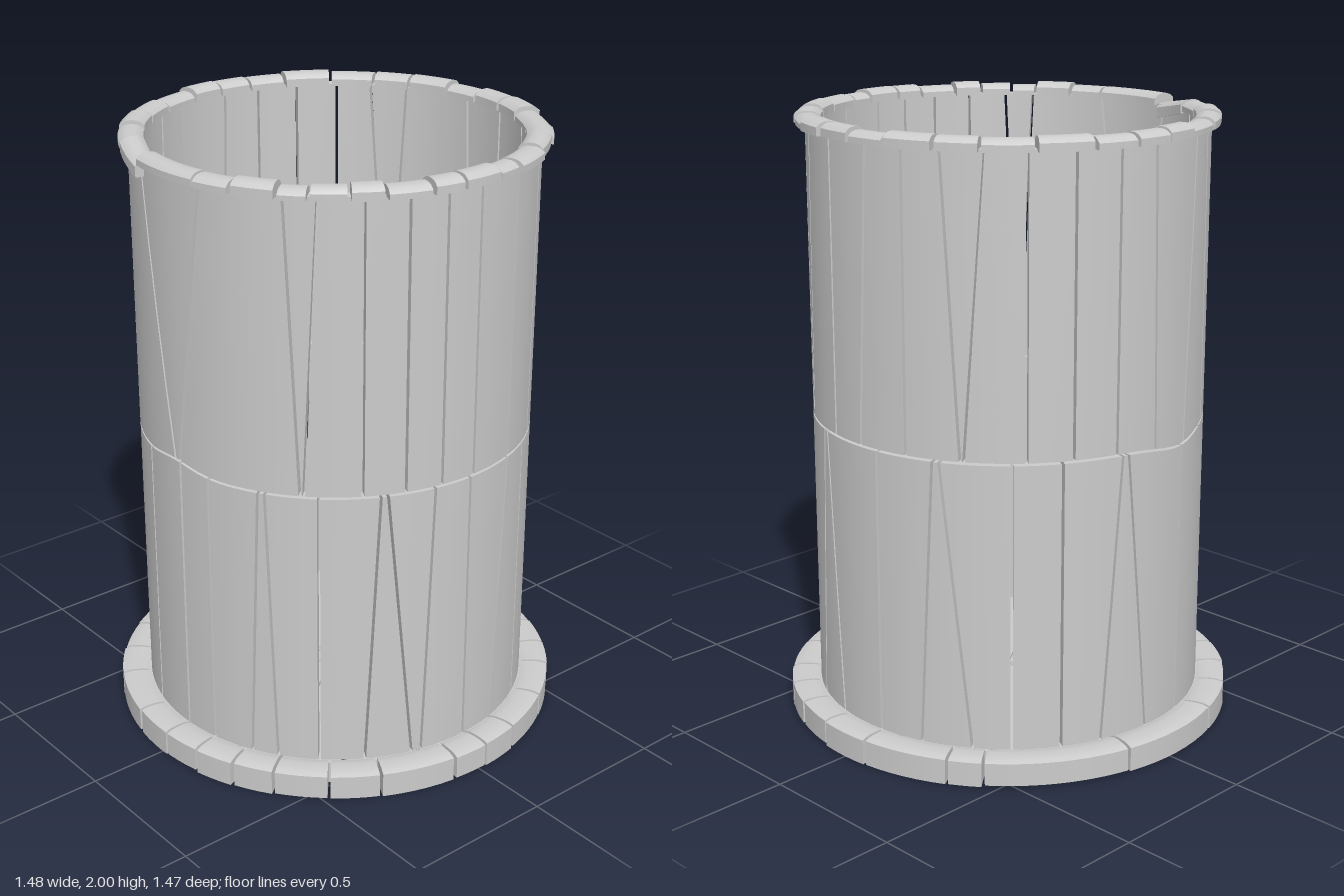
import * as THREE from 'three';

const rad = THREE.MathUtils.degToRad;
const lerp = THREE.MathUtils.lerp;
const material = new THREE.MeshStandardMaterial({ color: 0xcccccc });

// Seeded noise in 0..1
function seeded(seed) {
  return () => (seed = (seed * 16807) % 2147483647) / 2147483647;
}

// Angle 0 is the front (+z), 90 is the model's left (+x)
const polar = (r, deg) => [r * Math.sin(rad(deg)), r * Math.cos(rad(deg))];

// A box bent round the axis: its sides may slant, its top may be rounded
function bentBlock({ bottom, top, rIn, rOut, yLow, yHigh, gap = 0.4, round = 0 }) {
  const inset = ([a, b]) => {
    const g = Math.min(gap, (b - a) / 2 - 0.1);
    return [a + Math.max(g, 0), b - Math.max(g, 0)];
  };
  const low = inset(bottom), high = inset(top);
  const span = Math.max(low[1] - low[0], high[1] - high[0]);
  const geo = new THREE.BoxGeometry(1, 1, 1, Math.max(2, Math.ceil(span / 4)), 4, round ? 6 : 1);
  const pos = geo.attributes.position;
  for (let i = 0; i < pos.count; i++) {
    const u = pos.getX(i) + 0.5, v = pos.getY(i) + 0.5, w = pos.getZ(i);
    const a = lerp(lerp(low[0], low[1], u), lerp(high[0], high[1], u), v);
    const [x, z] = polar(lerp(rIn, rOut, w + 0.5), a);
    const y = lerp(yLow(a), yHigh(a) - round * Math.pow(Math.abs(2 * w), 3), v);
    pos.setXYZ(i, x, y, z);
  }
  geo.computeVertexNormals();
  return new THREE.Mesh(geo, material);
}

// Calls make(crack, nextCrack) for every piece round the circle
function aroundCircle(cracks, name, make) {
  const group = new THREE.Group();
  group.name = name;
  cracks.forEach((crack, i) => {
    const last = i === cracks.length - 1;
    const next = last ? cracks[0].map((d, k) => (k < 2 ? d + 360 : d)) : cracks[i + 1];
    const mesh = make(crack, next, i);
    mesh.name = name + 'Piece';
    group.add(mesh);
  });
  return group;
}

// Height of the uneven joint between the two tiers of staves
function joint(deg) {
  const a = ((deg + 540) % 360) - 180;
  return 1.02 + 0.02 * Math.exp(-((a / 10) ** 2)) - 0.03 * Math.exp(-(((a + 78) / 14) ** 2));
}

// Cracks as [angle at the bottom, angle at the top]
const UPPER = [
  [-60, -62], [-32, -32], [0, -14], [2, 13], [41, 37], [42, 46], [58, 58], [70, 70], [81, 81],
  [92, 92], [108, 108], [125, 125], [147, 142], [148, 152], [168, 168], [180, 184], [196, 196],
  [212, 207], [213, 219], [230, 230], [243, 243], [256, 256], [270, 268], [284, 288],
];
const LOWER = [
  [-40, -63], [-15, -15], [2, 2], [13, 13], [26, 29], [34, 31], [46, 46], [59, 63], [73, 65],
  [76, 79], [91, 91], [103, 108], [119, 119], [141, 141], [154, 160], [169, 162], [186, 186],
  [200, 204], [215, 206], [226, 226], [240, 240], [252, 258], [268, 260], [283, 283],
];
const FLANGE = [
  -11, 2, 13, 24, 35, 49, 62, 82, 92, 103, 120, 136, 147, 159, 172, 187, 210, 219, 256, 288, 304,
  317, 330,
].map((a) => [a, a]);
const RIM = [
  -27, -11, 13, 24, 36, 44, 54, 63, 75, 84, 96, 104, 118, 131, 142, 156, 168, 180, 192, 206, 218,
  232, 247, 259, 270, 281, 295, 308, 320,
].map((a) => [a, a]);

// Floor cracks: outer angle twice, then the point (x, z) where the crack starts
const FLOOR = [
  [-13, -13, 0, 0.25], [2, 2, 0, 0.25], [22, 22, 0, 0.25], [35, 35, 0, 0], [53, 53, 0, 0],
  [75, 75, 0.19, -0.02], [92, 92, 0.19, -0.02], [103, 103, 0.19, -0.02], [115, 115, 0.19, -0.02],
  [137, 137, 0, 0], [148, 148, 0, 0], [165, 165, 0, 0], [193, 193, 0, 0], [221, 221, 0, 0],
  [256, 256, -0.11, 0.03], [293, 293, -0.19, 0.09], [321, 321, -0.19, 0.09],
];

function floorWedge([a, , ax, az], [b, , bx, bz]) {
  const pts = [[ax, az]];
  const steps = Math.ceil((b - a) / 4);
  for (let i = 0; i <= steps; i++) pts.push(polar(0.655, lerp(a + 0.5, b - 0.5, i / steps)));
  if (ax !== bx || az !== bz) {
    if (bx || bz) pts.push([bx, bz]);
    if ((ax || az) && (bx || bz)) pts.push([0, 0]);
    else if (ax || az) pts.push([0, 0]);
  }
  // Shift each wedge a little outward and narrow it to open the cracks
  const [mx, mz] = polar(1, (a + b) / 2);
  const shape = new THREE.Shape(pts.map(([x, z]) => {
    const along = x * mx + z * mz, side = (x * mz - z * mx) * 0.97;
    const out = along * 0.988 + 0.008;
    return new THREE.Vector2(out * mx + side * mz, -(out * mz - side * mx));
  }));
  const geo = new THREE.ExtrudeGeometry(shape, { depth: 0.075, bevelEnabled: false });
  geo.rotateX(-Math.PI / 2).translate(0, 0.01, 0);
  return new THREE.Mesh(geo, material);
}

export function createModel() {
  const model = new THREE.Group();
  model.name = 'crackedCup';
  const rand = seeded(71);

  // Floor wedges
  model.add(aroundCircle(FLOOR, 'floor', floorWedge));

  // Foot flange stones
  model.add(aroundCircle(FLANGE, 'footFlange', (c, n) => {
    const low = 0.012 * rand() * rand();
    return bentBlock({
      bottom: [c[0], n[0]], top: [c[1], n[1]], rIn: 0.64, rOut: 0.74 - 0.006 * rand(),
      yLow: () => low, yHigh: () => 0.092, round: 0.008,
    });
  }));

  // Two tiers of wall staves
  model.add(aroundCircle(LOWER, 'lowerWall', (c, n) => bentBlock({
    bottom: [c[0], n[0]], top: [c[1], n[1]], rIn: 0.595, rOut: 0.64,
    yLow: () => 0.085, yHigh: (a) => joint(a) - 0.004,
  })));
  model.add(aroundCircle(UPPER, 'upperWall', (c, n) => bentBlock({
    bottom: [c[0], n[0]], top: [c[1], n[1]], rIn: 0.6, rOut: 0.64,
    yLow: (a) => joint(a) + 0.004, yHigh: () => 1.962,
  })));

  // Rounded rim stones, the first one chipped and sagging
  model.add(aroundCircle(RIM, 'rim', (c, n, i) => {
    const high = 2 - (i % 3 ? 0.012 * rand() : 0);
    return bentBlock({
      bottom: [c[0], n[0]], top: [c[1], n[1]], rIn: 0.59, rOut: 0.665 + 0.012 * rand(),
      yLow: (a) => (i ? 1.957 : 1.95 - 0.035 * (a + 27) / 16),
      yHigh: (a) => (i ? high : 1.995 - 0.03 * (a + 27) / 16), round: 0.016, gap: 0.5,
    });
  }));

  return model;
}
